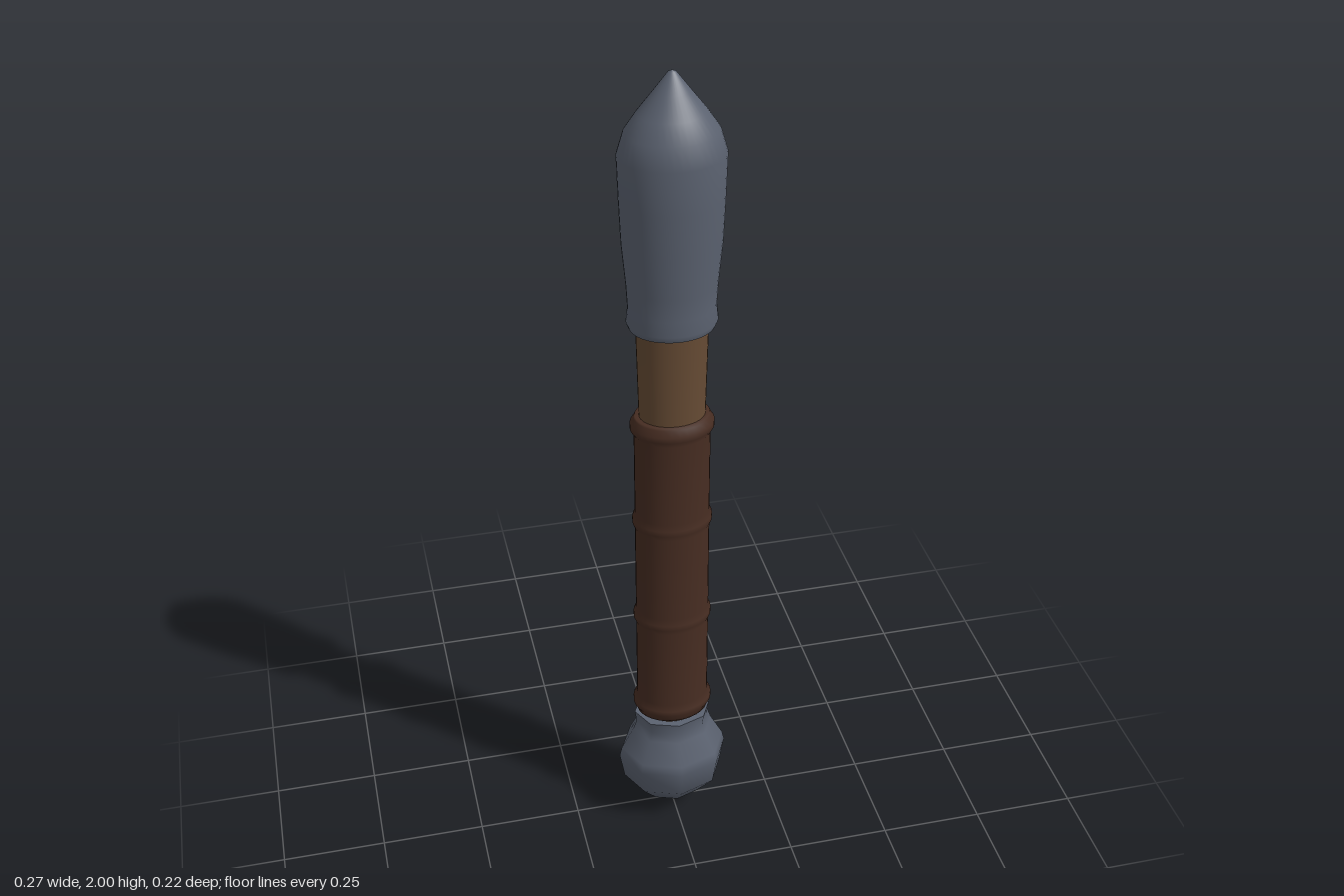
import * as THREE from 'three';

const steel = new THREE.MeshStandardMaterial({ name: 'steel', color: 0x5b6270 });
const wood = new THREE.MeshStandardMaterial({ name: 'wood', color: 0x664b34 });
const leather = new THREE.MeshStandardMaterial({ name: 'leather', color: 0x472d22 });

// Turned part from [radius, height] pairs, bottom to top, flattened in z
function turned(name, profile, segments, depth, material) {
  const geometry = new THREE.LatheGeometry(profile.map(([r, y]) => new THREE.Vector2(r, y)), segments);
  geometry.scale(1, 1, depth);
  const mesh = new THREE.Mesh(geometry, material);
  mesh.name = name;
  return mesh;
}

export function createModel() {
  const group = new THREE.Group();
  group.name = 'club';

  // Eight-sided pommel with a flat collar on top
  group.add(turned('pommel', [
    [0, 0], [0.012, 0.003], [0.075, 0.045], [0.125, 0.1], [0.137, 0.17],
    [0.131, 0.195], [0.1, 0.255], [0.092, 0.28], [0.096, 0.31],
  ], 8, 0.82, steel));
  group.add(turned('pommelCap', [[0.096, 0.31], [0, 0.31]], 8, 0.82, steel));

  // Wooden shaft, a little wider towards the head
  group.add(turned('shaft', [[0.072, 0.29], [0.076, 1.18], [0.082, 1.44]], 32, 0.8, wood));

  // Leather grip with four raised bands
  const grip = [[0.07, 0.32], [0.088, 0.322]];
  for (const y of [0.35, 0.62, 0.9, 1.16]) {
    const bulge = y === 0.35 || y === 1.16 ? 0.097 : 0.094;
    grip.push([0.088, y - 0.022], [bulge, y - 0.007], [bulge, y + 0.007], [0.088, y + 0.022]);
  }
  grip.push([0.086, 1.187], [0.07, 1.187]);
  group.add(turned('grip', grip, 32, 0.79, leather));

  // Steel head: underside, rim, swelling body and pointed tip
  group.add(turned('headUnderside', [[0.06, 1.415], [0.096, 1.415]], 40, 0.84, steel));
  group.add(turned('head', [
    [0.096, 1.415], [0.102, 1.43], [0.098, 1.465], [0.101, 1.52], [0.11, 1.62], [0.114, 1.72],
    [0.117, 1.82], [0.102, 1.87], [0.075, 1.91], [0.04, 1.955], [0.009, 1.996], [0, 2],
  ], 40, 0.84, steel));

  return group;
}
